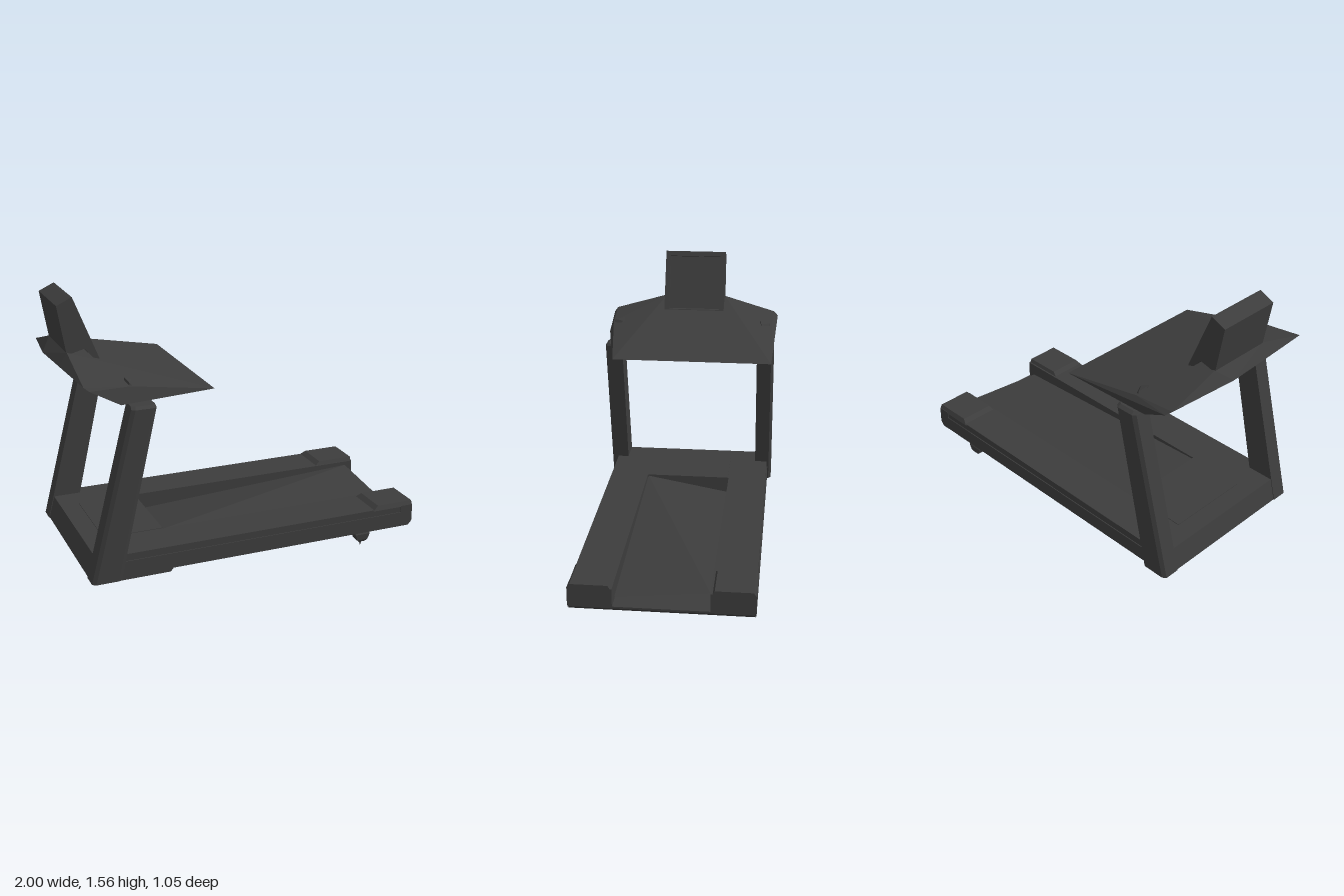
import * as THREE from 'three';
import { ConvexGeometry } from 'three/addons/geometries/ConvexGeometry.js';

const charcoal = new THREE.MeshStandardMaterial({ color: 0x3c3c3c });
charcoal.name = 'charcoal';
const charcoalSheet = new THREE.MeshStandardMaterial({ color: 0x3c3c3c, side: THREE.DoubleSide });
charcoalSheet.name = 'charcoal sheet';

export function createModel() {
  const root = new THREE.Group();
  root.name = 'treadmill';

  const add = (name, geometry, material = charcoal) => {
    const mesh = new THREE.Mesh(geometry, material);
    mesh.name = name;
    root.add(mesh);
    return mesh;
  };
  const hull = (name, points) =>
    add(name, new ConvexGeometry(points.map((p) => new THREE.Vector3(...p))));
  // Side profile in x and y, extruded from z0 to z1
  const profile = (name, points, z0, z1) => {
    const shape = new THREE.Shape(points.map((p) => new THREE.Vector2(...p)));
    const g = new THREE.ExtrudeGeometry(shape, { depth: z1 - z0, bevelEnabled: false });
    return add(name, g.translate(0, 0, z0));
  };
  const box = (name, x0, x1, y0, y1, z0, z1) =>
    add(name, new THREE.BoxGeometry(x1 - x0, y1 - y0, z1 - z0)
      .translate((x0 + x1) / 2, (y0 + y1) / 2, (z0 + z1) / 2));

  // Deck: base slab and the front cover between the uprights
  profile('deckBase', [[-0.94, 0.09], [0.98, 0.09], [1, 0.11], [1, 0.12], [-0.932, 0.12]], -0.485, 0.485);
  profile('frontCover', [[-0.938, 0.1], [-0.46, 0.1], [-0.46, 0.22], [-0.908, 0.22]], -0.42, 0.42);
  box('frontCoverPanel', -0.8, -0.46, 0.21, 0.223, -0.25, 0.25);

  // Running belt, sloping to either side of its diagonal
  const belt = new THREE.BufferGeometry();
  belt.setAttribute('position', new THREE.Float32BufferAttribute([
    -0.46, 0.215, 0.25, 0.95, 0.15, 0.25, 0.95, 0.2, -0.25,
    -0.46, 0.215, 0.25, 0.95, 0.2, -0.25, -0.46, 0.125, -0.25,
  ], 3));
  belt.computeVertexNormals();
  add('belt', belt, charcoalSheet);

  for (const s of [1, -1]) {
    const side = s > 0 ? 'left' : 'right';
    const span = (a, b) => (s > 0 ? [a, b] : [-b, -a]);

    // Foot rail with a raised side panel
    profile(side + 'Rail', [[-0.9, 0.095], [0.975, 0.095], [1, 0.12], [1, 0.22], [-0.87, 0.22]],
      ...span(0.255, 0.485));
    box(side + 'RailPanel', -0.78, 0.925, 0.105, 0.18, ...span(0.48, 0.49));

    // Rear end cap with bevelled top edges
    const pad = [];
    for (const x of [0.745, 1]) for (const z of [0.262, 0.49]) pad.push([x, 0.215, s * z]);
    for (const x of [0.78, 1]) for (const z of [0.275, 0.475]) pad.push([x, 0.24, s * z]);
    hull(side + 'EndCap', pad);
    profile(side + 'EndCapSide', [[0.925, 0.095], [0.98, 0.095], [1, 0.12], [1, 0.22], [0.925, 0.22]],
      ...span(0.48, 0.49));

    // Leaning upright with chamfered outer edges
    const zi = s > 0 ? 0.42 : 0.41;
    const zo = s > 0 ? 0.525 : 0.512;
    const post = [];
    for (const [y, x0, x1, inset] of [[0.09, -0.945, -0.78, 0], [1.03, -0.705, -0.568, 0], [1.043, -0.7, -0.57, 0.02]]) {
      post.push([x0, y, s * zi], [x1, y, s * zi]);
      post.push([x0, y, s * (zo - 0.015 - inset)], [x1, y, s * (zo - 0.015 - inset)]);
      post.push([x0 + 0.02, y, s * (zo - inset)], [x1 - 0.02, y, s * (zo - inset)]);
    }
    hull(side + 'Upright', post);

    // Rear foot: tapered block
    const foot = [];
    for (const [y, h, d] of [[0.095, 0.048, 0.02], [0.08, 0.046, 0.03], [0.045, 0.032, 0.027], [0.032, 0.02, 0.02]]) {
      for (const i of [-1, 1]) for (const j of [-1, 1]) foot.push([0.682 + i * h, y, s * 0.455 + j * d]);
    }
    hull(side + 'RearFoot', foot);

    // Small grip bump on the console
    hull(side + 'ConsoleGrip', [
      [-0.71, 1.12, s * 0.41], [-0.71, 1.12, s * 0.49], [-0.65, 1.11, s * 0.42], [-0.65, 1.11, s * 0.48],
      [-0.71, 1.18, s * 0.42], [-0.7, 1.165, s * 0.48], [-0.67, 1.165, s * 0.43],
    ]);
  }
  // Levelling pin under the left foot
  const pin = new THREE.ConeGeometry(0.012, 0.045, 6).rotateX(Math.PI);
  add('levellingPin', pin.translate(0.682, 0.0225, 0.457));

  // Front foot bar with chamfered lower edges
  profile('frontFootBar', [[-0.79, 0.095], [-0.79, 0.05], [-0.775, 0.035], [-0.475, 0.035], [-0.46, 0.05], [-0.46, 0.095]],
    -0.41, 0.42);

  // Console: faceted wedge with a thin edge towards the runner
  hull('console', [
    [-0.215, 1.06, -0.505], [-0.215, 1.06, 0.425],
    [-0.76, 1.068, -0.5], [-0.76, 1.068, 0.525], [-0.7, 1.15, -0.495], [-0.7, 1.15, 0.49],
    [-0.92, 1.155, -0.525], [-0.92, 1.155, 0.515], [-0.945, 1.175, -0.5], [-0.945, 1.175, 0.5],
    [-0.94, 1.268, -0.19], [-0.94, 1.268, 0.18], [-1, 1.2, -0.11], [-0.985, 1.2, -0.19], [-0.985, 1.2, 0.18],
    [-0.76, 1.205, -0.19], [-0.76, 1.205, 0.18],
  ]);

  // Display housing, leaning away from the runner
  profile('displayHousing', [[-0.94, 1.255], [-0.845, 1.28], [-0.775, 1.2], [-0.915, 1.553], [-0.985, 1.52]],
    -0.19, 0.18);

  // Raised frame around the display face
  const faceLength = Math.hypot(0.14, 0.353);
  const outline = (w, y0, y1) => [[-w, y0], [w, y0], [w, y1], [-w, y1]].map((p) => new THREE.Vector2(...p));
  const frameShape = new THREE.Shape(outline(0.185, 0, faceLength));
  frameShape.holes.push(new THREE.Path(outline(0.155, 0.018, faceLength - 0.03).reverse()));
  const frame = add('displayFrame', new THREE.ExtrudeGeometry(frameShape, { depth: 0.016, bevelEnabled: false }));
  const up = new THREE.Vector3(-0.14, 0.353, 0).normalize();
  const across = new THREE.Vector3(0, 0, -1);
  const out = new THREE.Vector3().crossVectors(across, up);
  frame.setRotationFromMatrix(new THREE.Matrix4().makeBasis(across, up, out));
  frame.position.set(-0.775, 1.2, -0.005);

  return root;
}
